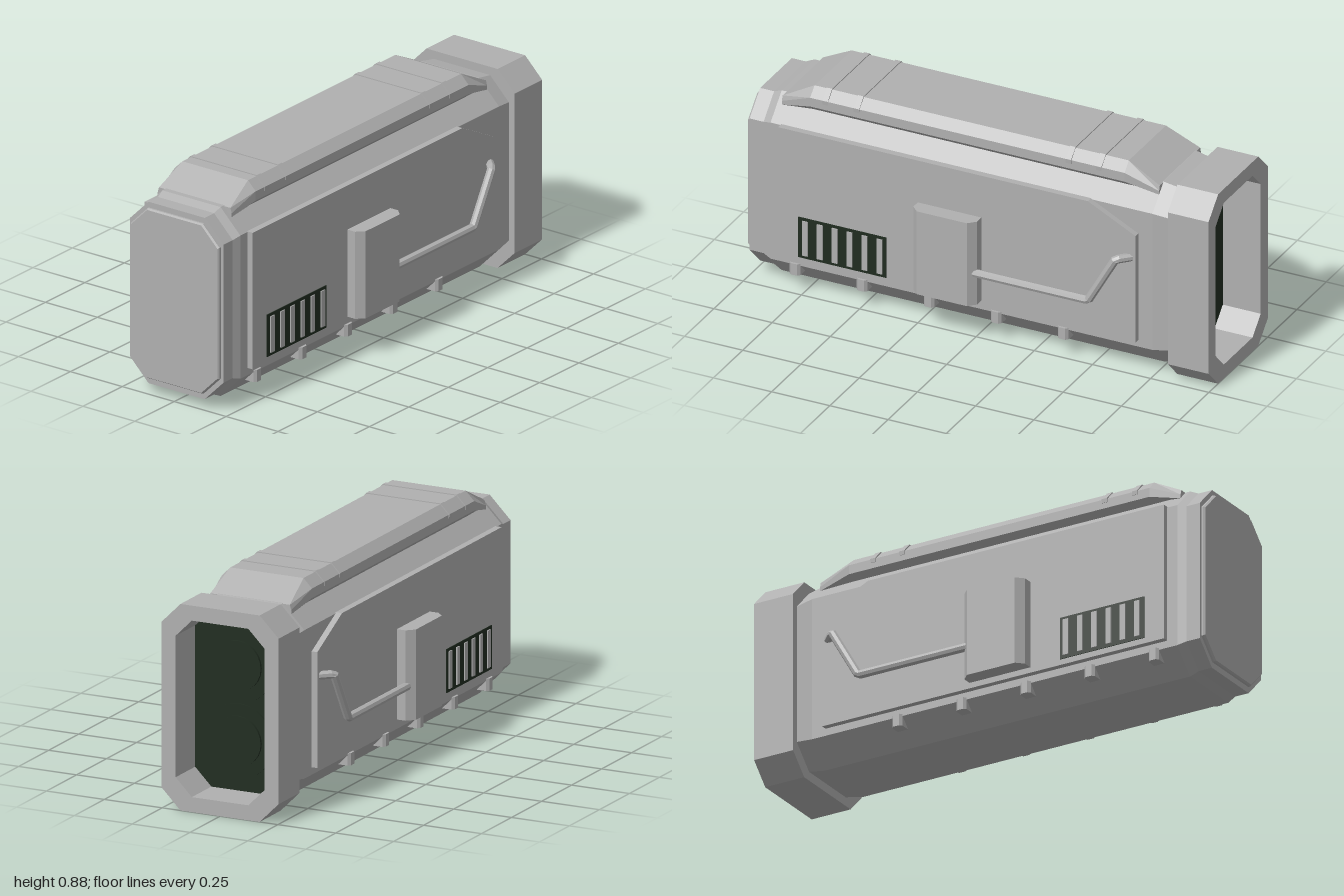
import * as THREE from 'three';

// Octagon with cut corners, counter-clockwise seen from +z
function octagon(w, y0, y1, c) {
  return [[w - c, y0], [w, y0 + c], [w, y1 - c], [w - c, y1],
    [-w + c, y1], [-w, y1 - c], [-w, y0 + c], [-w + c, y0]];
}

// Half profile (right side, bottom to top) completed to a closed outline
function symmetric(half) {
  return [...half, ...half.slice().reverse().map(([x, y]) => [-x, y])];
}

// Flat-faced solid through outlines listed from back to front: [z, outline]
function loft(sections) {
  const pos = [];
  const n = sections[0][1].length;
  const put = (s, i) => pos.push(s[1][i % n][0], s[1][i % n][1], s[0]);
  for (let k = 0; k < sections.length - 1; k++) {
    const a = sections[k], b = sections[k + 1];
    for (let i = 0; i < n; i++) {
      put(a, i); put(a, i + 1); put(b, i + 1);
      put(a, i); put(b, i + 1); put(b, i);
    }
  }
  const back = sections[0], front = sections[sections.length - 1];
  for (let i = 1; i < n - 1; i++) {
    put(back, 0); put(back, i + 1); put(back, i);
    put(front, 0); put(front, i); put(front, i + 1);
  }
  const g = new THREE.BufferGeometry();
  g.setAttribute('position', new THREE.Float32BufferAttribute(pos, 3));
  g.computeVertexNormals();
  return g;
}

const shapeOf = (pts) => new THREE.Shape(pts.map(([x, y]) => new THREE.Vector2(x, y)));
const extrude = (shape, depth) => new THREE.ExtrudeGeometry(shape, { depth, bevelEnabled: false });

// Plate with a [z, y] outline, from x0 to x1
function sidePlate(pts, x0, x1) {
  return extrude(shapeOf(pts.map(([z, y]) => [-z, y])), x1 - x0).rotateY(Math.PI / 2).translate(x0, 0, 0);
}

// Block whose two outer vertical edges are chamfered by c
function chamferBlock(x0, x1, y0, y1, z0, z1, c) {
  const pts = [[x0, z0], [x1 - c, z0], [x1, z0 + c], [x1, z1 - c], [x1 - c, z1], [x0, z1]];
  return extrude(shapeOf(pts.map(([x, z]) => [x, -z])), y1 - y0).rotateX(-Math.PI / 2).translate(0, y0, 0);
}

// Copy reflected in x, with the corner order restored
function mirrored(geo) {
  const src = geo.index ? geo.toNonIndexed() : geo;
  const p = src.attributes.position;
  const out = [];
  for (let i = 0; i < p.count; i += 3) {
    for (const j of [i, i + 2, i + 1]) out.push(-p.getX(j), p.getY(j), p.getZ(j));
  }
  const g = new THREE.BufferGeometry();
  g.setAttribute('position', new THREE.Float32BufferAttribute(out, 3));
  g.computeVertexNormals();
  return g;
}

export function createModel() {
  const model = new THREE.Group();
  model.name = 'cargoPod';
  const grey = new THREE.MeshStandardMaterial({ color: 0xb0b0b0 });
  grey.name = 'hullGrey';
  const dark = new THREE.MeshStandardMaterial({ color: 0x202c20 });
  dark.name = 'darkGreen';

  const add = (name, geo, mat = grey) => {
    const mesh = new THREE.Mesh(geo, mat);
    mesh.name = name;
    model.add(mesh);
    return mesh;
  };
  const addPair = (name, geo, mat = grey) => {
    add(name + 'Left', geo, mat);
    add(name + 'Right', mirrored(geo), mat);
  };

  // Hull with slightly tapered ends
  const full = octagon(0.235, 0.022, 0.805, 0.095);
  const slim = octagon(0.225, 0.038, 0.79, 0.09);
  add('hull', loft([[-0.83, slim], [-0.75, full], [0.89, full], [0.925, slim], [0.985, slim]]));

  // Front cover plate
  const cover = octagon(0.213, 0.063, 0.767, 0.08);
  add('frontCover', loft([[0.98, cover], [0.993, cover], [1, octagon(0.208, 0.068, 0.762, 0.078)]]));

  // Rear collar and recess
  const collar = shapeOf(octagon(0.253, 0, 0.825, 0.082));
  collar.holes.push(new THREE.Path(
    octagon(0.192, 0.06, 0.765, 0.07).reverse().map(([x, y]) => new THREE.Vector2(x, y))));
  add('rearCollar', extrude(collar, 0.175).translate(0, 0, -1));
  add('rearPanel', loft([[-0.837, octagon(0.192, 0.06, 0.765, 0.07)],
    [-0.829, octagon(0.192, 0.06, 0.765, 0.07)]]), dark);
  for (const y of [0.262, 0.563]) {
    for (const [r, z] of [[0.148, -0.845], [0.1, -0.855]]) {
      add('rearNozzle', new THREE.CylinderGeometry(r, r, 0.03, 24).rotateX(Math.PI / 2)
        .translate(0, y, z + 0.015), dark);
    }
  }

  // Roof fairing, sloping down at both ends
  const roofFull = symmetric([[0.165, 0.77], [0.195, 0.797], [0.195, 0.835], [0.158, 0.872]]);
  const roofEnd = symmetric([[0.15, 0.76], [0.178, 0.766], [0.178, 0.782], [0.172, 0.803]]);
  add('roofFairing', loft([[-0.75, roofEnd], [-0.61, roofFull], [0.74, roofFull], [0.87, roofEnd]]));

  // Raised bands over the fairing
  const band = symmetric([[0.197, 0.82], [0.198, 0.837], [0.16, 0.876]]);
  for (const z of [0.675, 0.54, -0.37, -0.5]) {
    add('roofBand', loft([[z - 0.012, band], [z + 0.012, band]]));
  }

  // Side panels with one cut corner
  addPair('sidePanel', sidePlate([[0.845, 0.147], [-0.69, 0.147], [-0.69, 0.61],
    [-0.485, 0.713], [0.845, 0.713]], 0.225, 0.26));

  // Vents
  addPair('ventBack', sidePlate([[0.757, 0.17], [0.38, 0.17], [0.38, 0.345], [0.757, 0.345]], 0.257, 0.263), dark);
  for (let i = 0; i < 6; i++) {
    const z = 0.727 - i * 0.064;
    addPair('ventSlat', new THREE.BoxGeometry(0.01, 0.15, 0.024).translate(0.263, 0.258, z));
  }

  // Side boxes
  addPair('sideBox', chamferBlock(0.25, 0.327, 0.17, 0.531, -0.028, 0.245, 0.029));

  // Bent handrails
  const pts = [[0.297, 0.305, 0], [0.297, 0.305, -0.505], [0.297, 0.51, -0.622], [0.25, 0.51, -0.668]]
    .map((p) => new THREE.Vector3(...p));
  const rail = new THREE.CatmullRomCurve3(pts, false, 'catmullrom', 0);
  addPair('handrail', mirrored(mirrored(new THREE.TubeGeometry(rail, 60, 0.017, 8))));

  // Bolts along the lower edges
  for (let i = 0; i < 5; i++) {
    const z = 0.785 - i * 0.288;
    addPair('lowerBolt', chamferBlock(0.195, 0.245, 0.076, 0.125, z - 0.023, z + 0.023, 0.01));
  }
  return model;
}
